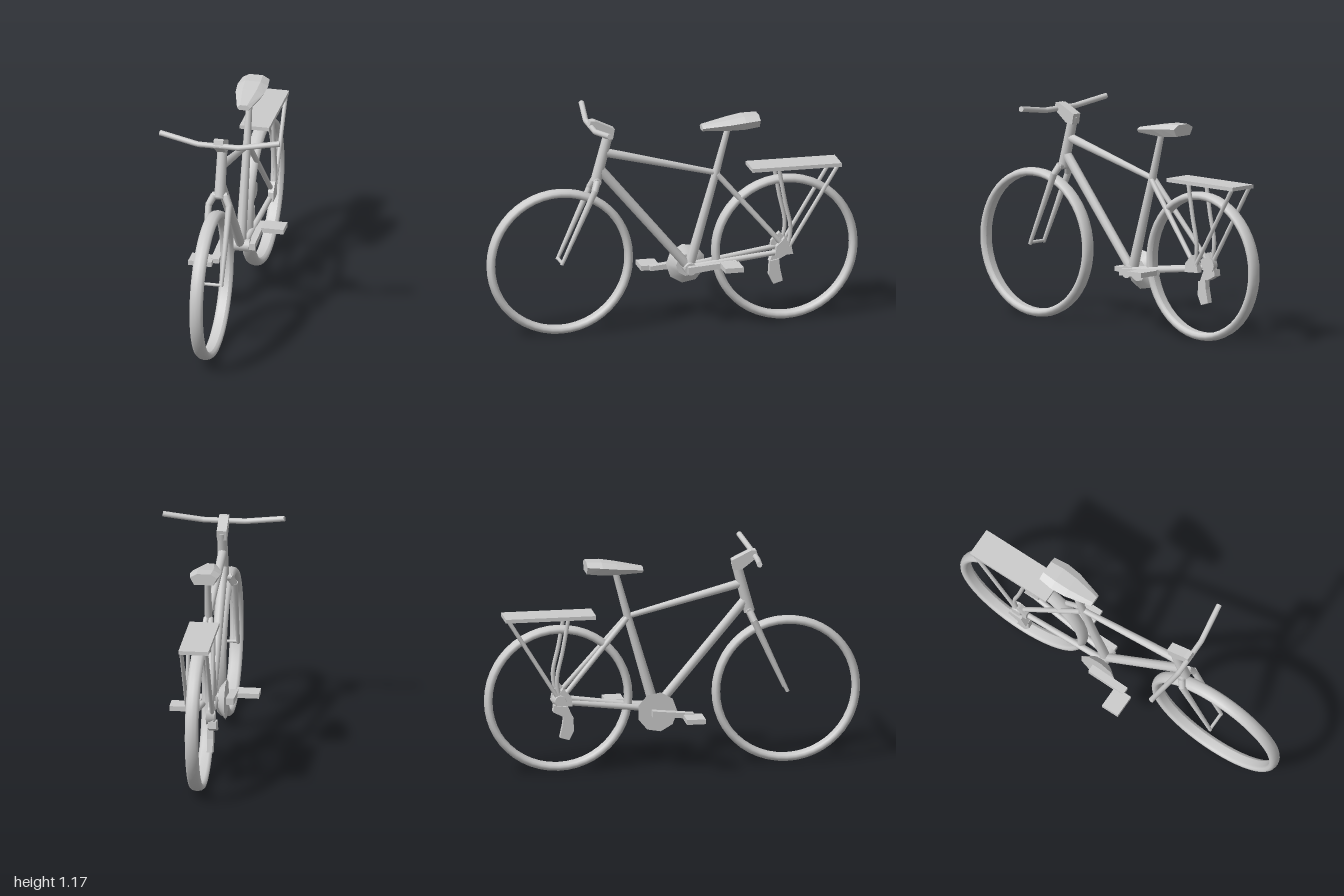
import * as THREE from 'three';
import { ConvexGeometry } from 'three/addons/geometries/ConvexGeometry.js';

const V = (x, y, z) => new THREE.Vector3(x, y, z);

export function createModel() {
  const bike = new THREE.Group();
  bike.name = 'bicycle';
  const grey = new THREE.MeshStandardMaterial({ color: 0xcccccc });

  const add = (name, geometry) => {
    const mesh = new THREE.Mesh(geometry, grey);
    mesh.name = name;
    bike.add(mesh);
    return mesh;
  };

  // Tapered tube from a (radius ra) to b (radius rb)
  const tube = (name, a, b, ra, rb = ra, sides = 10) => {
    const dir = b.clone().sub(a);
    const mesh = add(name, new THREE.CylinderGeometry(rb, ra, dir.length(), sides));
    mesh.position.copy(a).add(b).multiplyScalar(0.5);
    mesh.quaternion.setFromUnitVectors(V(0, 1, 0), dir.normalize());
    return mesh;
  };

  // Side outline of [z, y] points, extruded from x0 to x1
  const plate = (name, outline, x0, x1) => {
    const shape = new THREE.Shape(outline.map(([z, y]) => new THREE.Vector2(z, y)));
    const geo = new THREE.ExtrudeGeometry(shape, { depth: x1 - x0, bevelEnabled: false });
    geo.rotateY(-Math.PI / 2).translate(x1, 0, 0);
    return add(name, geo);
  };

  const box = (name, w, h, d, x, y, z) => {
    const mesh = add(name, new THREE.BoxGeometry(w, h, d));
    mesh.position.set(x, y, z);
    return mesh;
  };

  // Wheels: one closed tyre and rim profile turned around the axle
  const profile = [[0.352, -0.018], [0.358, -0.03], [0.368, -0.036], [0.38, -0.034], [0.39, -0.022], [0.395, 0],
    [0.39, 0.022], [0.38, 0.034], [0.368, 0.036], [0.358, 0.03], [0.352, 0.018], [0.352, -0.018]]
    .map(([r, x]) => new THREE.Vector2(r, x));
  for (const [name, z] of [['frontWheel', 0.606], ['rearWheel', -0.604]]) {
    const wheel = add(name, new THREE.LatheGeometry(profile, 48));
    wheel.rotation.z = Math.PI / 2;
    wheel.position.set(0, 0.395, z);
  }

  // Main frame
  const bottomBracket = V(0, 0.315, -0.09);
  tube('headTube', V(0, 0.82, 0.412), V(0, 1.09, 0.34), 0.029, 0.026, 14);
  tube('topTube', V(0, 0.973, 0.36), V(0, 0.82, -0.24), 0.024, 0.015);
  tube('downTube', V(0, 0.89, 0.395), bottomBracket, 0.026, 0.024);
  tube('seatTube', bottomBracket, V(0, 0.82, -0.235), 0.028, 0.021);
  tube('seatPost', V(0, 0.82, -0.235), V(0, 1.08, -0.305), 0.021, 0.016);
  tube('bottomBracketShell', V(-0.05, 0.315, -0.09), V(0.05, 0.315, -0.09), 0.033, 0.033, 12);

  // Fork crown and axle
  tube('forkCrown', V(-0.04, 0.822, 0.41), V(0.04, 0.822, 0.41), 0.02);
  tube('frontAxle', V(-0.055, 0.398, 0.605), V(0.055, 0.398, 0.605), 0.009, 0.009, 8);

  // Paired parts on both sides
  for (const s of [-1, 1]) {
    tube('forkShoulder', V(s * 0.03, 0.825, 0.41), V(s * 0.055, 0.775, 0.432), 0.02, 0.018);
    tube('forkBlade', V(s * 0.055, 0.785, 0.427), V(s * 0.052, 0.39, 0.607), 0.018, 0.01);
    tube('seatStay', V(s * 0.012, 0.815, -0.24), V(s * 0.055, 0.41, -0.59), 0.015, 0.013);
    tube('chainStay', V(s * 0.02, 0.32, -0.1), V(s * 0.055, 0.385, -0.595), 0.018, 0.014);
    tube('rackRearStrut', V(s * 0.066, 0.84, -0.88), V(s * 0.064, 0.41, -0.615), 0.011, 0.011, 8);
    const bend = new THREE.CatmullRomCurve3([V(s * 0.066, 0.84, -0.56), V(s * 0.066, 0.66, -0.592),
      V(s * 0.066, 0.51, -0.622), V(s * 0.062, 0.4, -0.605)]);
    add('rackFrontStrut', new THREE.TubeGeometry(bend, 12, 0.011, 8));
    // Dropout with a pointed top
    plate('rearDropout', [[-0.54, 0.365], [-0.635, 0.37], [-0.625, 0.42], [-0.59, 0.46], [-0.545, 0.415]],
      s * 0.058 - 0.015, s * 0.058 + 0.015);
  }

  // Luggage rack
  box('rackPlatform', 0.158, 0.02, 0.48, 0, 0.84, -0.655);

  // Stem and handlebar
  plate('stem', [[0.455, 1.12], [0.445, 1.155], [0.42, 1.155], [0.315, 1.105], [0.325, 1.05], [0.37, 1.055]], -0.026, 0.026);
  const bar = new THREE.CurvePath();
  const barPoints = [V(-0.32, 1.155, 0.412), V(-0.11, 1.122, 0.44), V(0.11, 1.122, 0.44), V(0.32, 1.155, 0.412)];
  for (let i = 0; i < 3; i++) bar.add(new THREE.LineCurve3(barPoints[i], barPoints[i + 1]));
  add('handlebar', new THREE.TubeGeometry(bar, 30, 0.015, 10));
  for (const s of [-1, 1]) {
    tube('gripEnd', V(s * 0.315, 1.154, 0.413), V(s * 0.321, 1.155, 0.412), 0.015);
  }

  // Saddle: hull of sections [z, half width, bottom, side top, crown]
  const saddlePoints = [];
  for (const [z, w, bottom, side, crown] of [[-0.157, 0.036, 1.06, 1.075, 1.088], [-0.3, 0.075, 1.06, 1.095, 1.115],
    [-0.38, 0.082, 1.062, 1.105, 1.128], [-0.46, 0.072, 1.07, 1.11, 1.13]]) {
    for (const s of [-1, 1]) {
      saddlePoints.push(V(s * w * 0.7, bottom, z), V(s * w, side, z), V(s * w * 0.5, crown, z));
    }
  }
  add('saddle', new ConvexGeometry(saddlePoints));

  // Drivetrain on the right side
  tube('chainring', V(-0.038, 0.315, -0.09), V(-0.076, 0.315, -0.09), 0.06, 0.107, 9);
  tube('cassette', V(-0.035, 0.395, -0.604), V(-0.08, 0.395, -0.604), 0.045, 0.03, 8);
  plate('derailleurArm', [[-0.565, 0.365], [-0.64, 0.375], [-0.645, 0.34], [-0.585, 0.31], [-0.535, 0.3]], -0.088, -0.045);
  plate('derailleurCage', [[-0.535, 0.305], [-0.585, 0.315], [-0.59, 0.265], [-0.605, 0.195], [-0.555, 0.18], [-0.53, 0.23]],
    -0.066, -0.035);

  // Cranks and pedals
  plate('leftCrank', [[-0.07, 0.298], [-0.07, 0.334], [-0.33, 0.352], [-0.335, 0.328]], 0.045, 0.08);
  plate('rightCrank', [[-0.12, 0.33], [-0.12, 0.295], [0.1, 0.283], [0.1, 0.308]], -0.118, -0.075);
  box('leftPedal', 0.12, 0.026, 0.1, 0.135, 0.338, -0.29);
  box('rightPedal', 0.125, 0.026, 0.1, -0.168, 0.292, 0.092);

  return bike;
}
